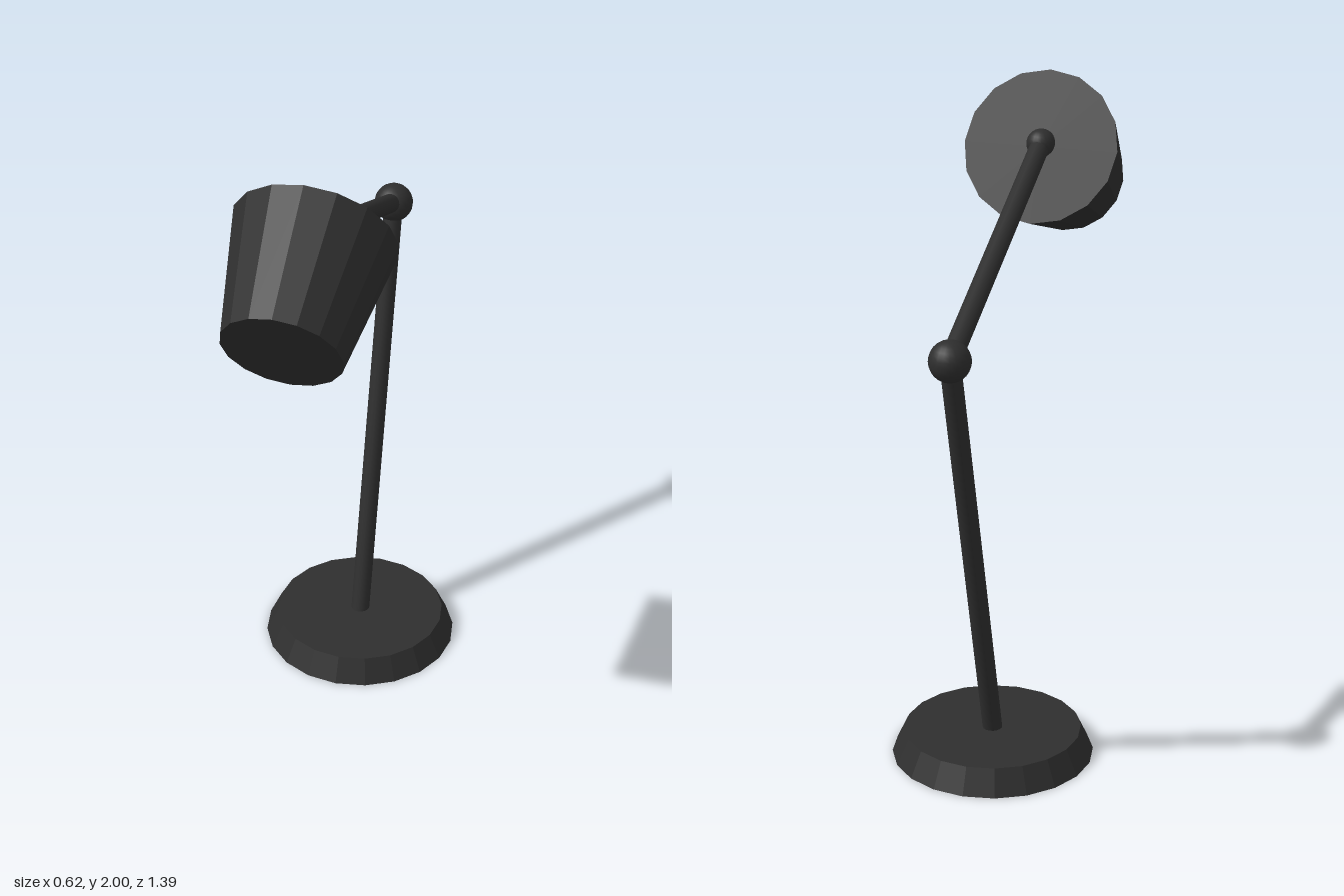
import * as THREE from 'three';

export function createModel() {
  const lamp = new THREE.Group();
  lamp.name = 'deskLamp';
  const smooth = new THREE.MeshStandardMaterial({ color: 0x2e2e2e });
  const faceted = new THREE.MeshStandardMaterial({ color: 0x2e2e2e, flatShading: true });

  // Tapered cylinder running from point a to point b
  function rod(name, a, b, radiusA, radiusB, sides, material) {
    const axis = b.clone().sub(a);
    const mesh = new THREE.Mesh(
      new THREE.CylinderGeometry(radiusB, radiusA, axis.length(), sides), material);
    mesh.position.copy(a).add(b).multiplyScalar(0.5);
    mesh.quaternion.setFromUnitVectors(new THREE.Vector3(0, 1, 0), axis.normalize());
    mesh.name = name;
    lamp.add(mesh);
  }

  function ball(name, center, radius) {
    const mesh = new THREE.Mesh(new THREE.SphereGeometry(radius, 20, 14), smooth);
    mesh.position.copy(center);
    mesh.name = name;
    lamp.add(mesh);
  }

  const point = (y, z) => new THREE.Vector3(0, y, z);
  const foot = point(0.06, -0.238);
  const elbow = point(1.405, -0.63);
  const neck = point(1.795, 0.28);

  // Weighted base
  rod('base', point(0, -0.24), point(0.08, -0.24), 0.31, 0.272, 20, faceted);

  // Two arms and their ball joints
  rod('lowerArm', foot, elbow, 0.03, 0.03, 16, smooth);
  ball('elbowJoint', elbow, 0.061);
  rod('upperArm', elbow, neck, 0.03, 0.03, 16, smooth);
  ball('neckJoint', neck, 0.045);

  // Shade, closed at both ends, narrowing towards the front
  rod('shade', point(1.7875, 0.2725), point(1.605, 0.615), 0.24, 0.175, 16, faceted);

  return lamp;
}
